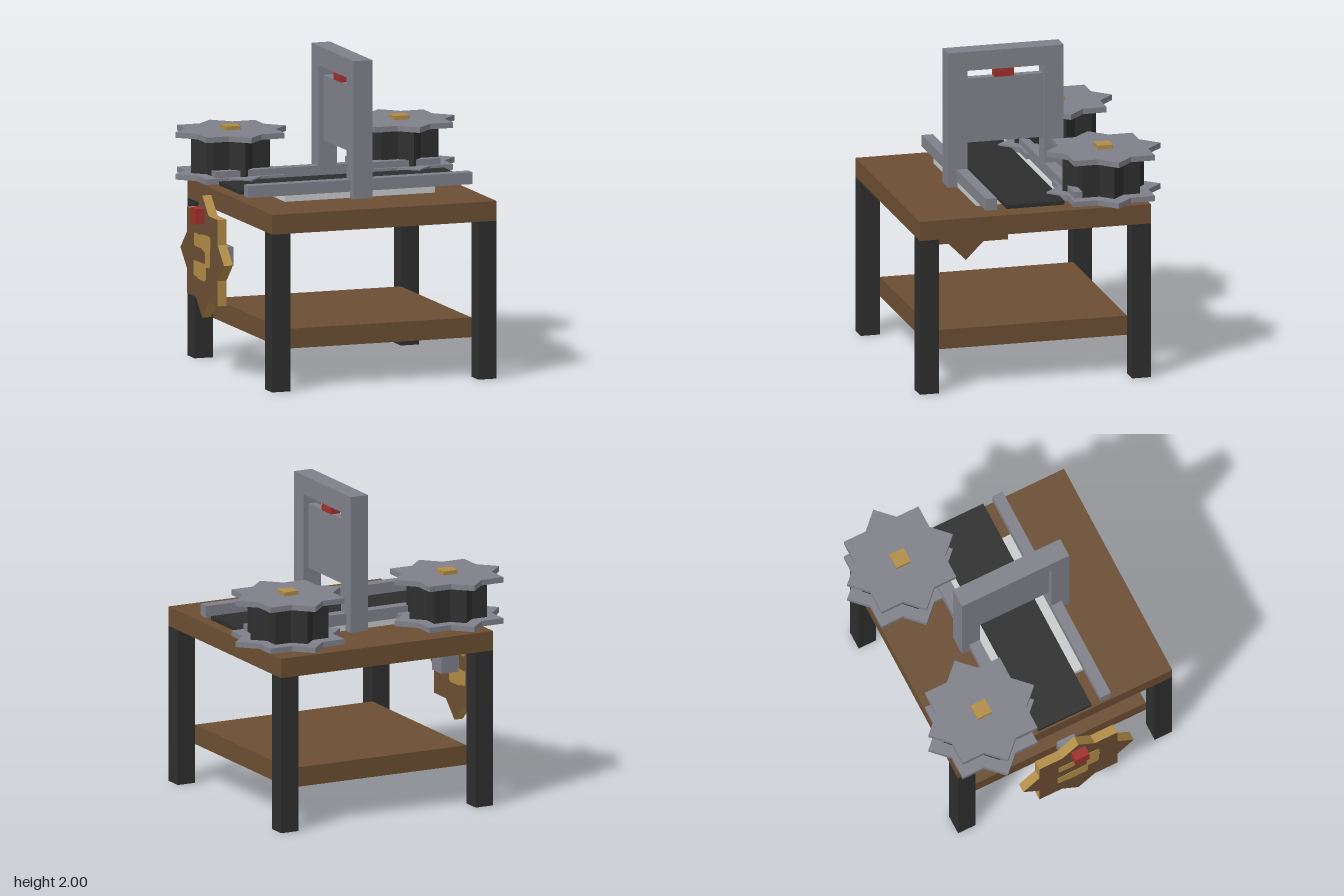
import * as THREE from 'three';

const mat = (name, color) => Object.assign(new THREE.MeshStandardMaterial({ color }), { name });

export function createModel() {
  const root = new THREE.Group();
  root.name = 'pressTable';
  const wood = mat('brown wood', 0x6b4e33);
  const black = mat('black', 0x2e2e2e);
  const steel = mat('grey steel', 0x80808a);
  const pale = mat('pale grey', 0xc8cacc);
  const brass = mat('brass', 0xb08c46);
  const red = mat('red', 0xa0302c);

  const add = (parent, name, geo, m) => {
    const mesh = new THREE.Mesh(geo, m);
    mesh.name = name;
    parent.add(mesh);
    return mesh;
  };
  // box from its lower and upper limits on each axis
  const box = (parent, name, m, [x0, x1], [y0, y1], [z0, z1]) => {
    const mesh = add(parent, name, new THREE.BoxGeometry(x1 - x0, y1 - y0, z1 - z0), m);
    mesh.position.set((x0 + x1) / 2, (y0 + y1) / 2, (z0 + z1) / 2);
    return mesh;
  };
  // eight-pointed star, the outline of two crossed squares
  const star = (radius, depth) => {
    const pts = [];
    for (let i = 0; i < 16; i++) {
      const r = i % 2 ? radius * 0.7654 : radius;
      const a = (i * Math.PI) / 8;
      pts.push(new THREE.Vector2(r * Math.cos(a), r * Math.sin(a)));
    }
    return new THREE.ExtrudeGeometry(new THREE.Shape(pts), { depth, bevelEnabled: false });
  };

  // table
  const X = [-0.72, 0.78], Z = [-0.695, 0.805];
  box(root, 'tableTop', wood, X, [1, 1.125], Z);
  box(root, 'shelf', wood, [-0.597, 0.657], [0.25, 0.375], [-0.572, 0.682]);
  for (const x of [X[0], X[1] - 0.123])
    for (const z of [Z[0], Z[1] - 0.123])
      box(root, 'leg', black, [x, x + 0.123], [0, 1], [z, z + 0.123]);

  // bed, strip and guide rails
  box(root, 'bedPlate', pale, [-0.47, 0.53], [1.125, 1.165], [-0.255, 0.37]);
  box(root, 'strip', black, X, [1.165, 1.19], [-0.135, 0.24]);
  for (const z of [-0.27, 0.303])
    box(root, 'rail', steel, X, [1.165, 1.24], [z, z + 0.073]);

  // upright frame with its blade
  const frame = new THREE.Group();
  frame.name = 'frame';
  root.add(frame);
  const FX = [-0.035, 0.09];
  box(frame, 'frontPost', steel, FX, [1.125, 1.877], [0.305, 0.43]);
  box(frame, 'backPost', steel, FX, [1.125, 1.877], [-0.32, -0.195]);
  box(frame, 'topBar', steel, FX, [1.877, 2], [-0.32, 0.43]);
  box(frame, 'blade', steel, [0, 0.055], [1.4, 1.815], [-0.195, 0.305]);
  box(frame, 'bladeCatch', red, [-0.005, 0.06], [1.815, 1.877], [-0.005, 0.12]);

  // two star-shaped spools
  for (const x of [-0.53, 0.595]) {
    const spool = new THREE.Group();
    spool.name = 'spool';
    spool.position.set(x, 0, -0.437);
    root.add(spool);
    const layer = (name, m, radius, y0, y1) => {
      add(spool, name, star(radius, y1 - y0).rotateX(-Math.PI / 2), m).position.y = y0;
    };
    layer('lowerFlange', steel, 0.37, 1.165, 1.2);
    layer('core', black, 0.264, 1.2, 1.43);
    layer('upperFlange', steel, 0.37, 1.43, 1.465);
    box(spool, 'spoolCap', brass, [-0.05, 0.05], [1.465, 1.49], [-0.05, 0.05]);
  }

  // hand wheel: brown faces, brass rim
  const wheel = new THREE.Group();
  wheel.name = 'handWheel';
  wheel.position.set(0, 0.755, 0.055);
  root.add(wheel);
  add(wheel, 'wheel', star(0.387, 0.06).rotateY(Math.PI / 2), [wood, brass]).position.x = -0.905;

  // worn brass patch showing on both faces (horizontal axis runs towards -z)
  const patch = new THREE.Shape([
    [-0.125, 0.145], [0.02, 0.14], [0.03, 0.13], [0.13, 0.133], [0.142, 0.12], [0.142, 0.06],
    [0.13, 0.05], [0.01, 0.05], [-0.06, 0.03], [-0.06, -0.04], [0.14, -0.045], [0.148, -0.055],
    [0.148, -0.13], [0.13, -0.14], [0.08, -0.142], [0.07, -0.152], [-0.05, -0.152], [-0.065, -0.14],
    [-0.065, -0.06], [-0.13, -0.055], [-0.142, -0.045], [-0.14, 0.04], [-0.148, 0.06], [-0.145, 0.13],
  ].map(([u, v]) => new THREE.Vector2(u, v)));
  for (const x of [-0.908, -0.845])
    add(wheel, 'wheelPatch', new THREE.ExtrudeGeometry(patch, { depth: 0.003, bevelEnabled: false })
      .rotateY(Math.PI / 2), brass).position.x = x;
  box(wheel, 'wheelAxle', steel, [-0.845, -0.72], [-0.062, 0.06], [-0.06, 0.062]);
  box(wheel, 'wheelKnob', red, [-0.965, -0.905], [0.213, 0.31], [-0.05, 0.045]);

  return root;
}
